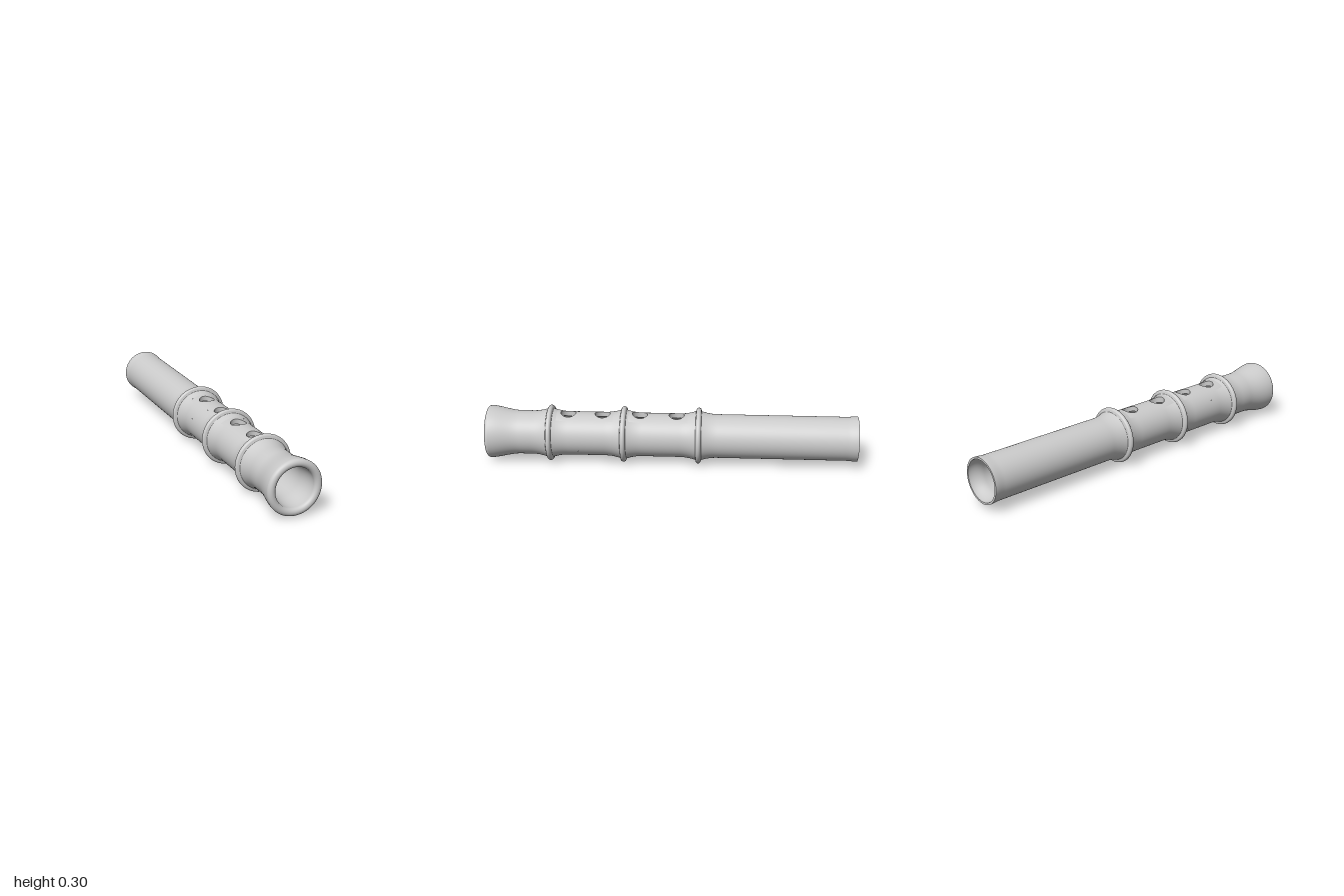
import * as THREE from 'three';

const AXIS_Y = 0.151;
const NODES = [-0.147, 0.257, 0.655];          // raised joints along the tube
const HOLES = [-0.028, 0.17, 0.372, 0.558];    // finger holes on the top
const HOLE_R = 0.041;
const WIN_Z = 0.06, WIN_A = 0.6;               // window cut around each hole
const BACK = -1, FRONT = 0.98;

const smooth = THREE.MathUtils.smoothstep;

// outer radius: tube, flared joints with a bead, bell at the front
function outerR(z) {
  let r = 0.118 + 0.025 * smooth(z, 0.82, 0.99) + 0.004 * smooth(-z, 0.94, 1);
  for (const n of NODES) {
    const d = Math.abs(z - n);
    if (d < 0.1) r += 0.02 * (1 - d / 0.1) ** 2;
    if (d < 0.014) r = Math.max(r, 0.137 + Math.sqrt(0.014 ** 2 - d * d));
  }
  return r;
}

// bore radius, widening at both ends
function innerR(z) {
  return 0.092 + 0.01 * smooth(z, 0.86, 0.98) + 0.019 * smooth(-z, 0.92, 1);
}

const material = new THREE.MeshStandardMaterial({ color: 0xcccccc, side: THREE.DoubleSide });

function add(parent, name, geometry) {
  const mesh = new THREE.Mesh(geometry, material);
  mesh.name = name;
  parent.add(mesh);
}

// lathe about the z axis; a gap half-angle leaves the top open
function turn(points, gap = 0) {
  return new THREE.LatheGeometry(points, 72, Math.PI + gap, 2 * Math.PI - 2 * gap).rotateX(Math.PI / 2);
}

// profile points, closer together around joints and ends
function profile(radius, z0, z1) {
  const pts = [];
  for (let z = z0; z < z1 - 0.001;) {
    pts.push(new THREE.Vector2(radius(z), z));
    const d = Math.min(...NODES.map((n) => Math.abs(z - n)));
    z += d < 0.025 ? 0.002 : d < 0.12 || Math.abs(z) > 0.8 ? 0.008 : 0.02;
  }
  pts.push(new THREE.Vector2(radius(z1), z1));
  return pts;
}

// sheet running around a hole; at(t, s) gives [position, normal]
function ringSheet(at, rows, flip) {
  const N = 48, pos = [], nor = [], idx = [];
  for (let j = 0; j <= rows; j++) {
    for (let i = 0; i <= N; i++) {
      const [p, n] = at((i / N) * Math.PI * 2, j / rows);
      pos.push(...p);
      nor.push(...n);
      if (i === N || j === rows) continue;
      const a = j * (N + 1) + i, b = a + 1, c = a + N + 1, d = c + 1;
      if (flip) idx.push(a, c, b, b, c, d);
      else idx.push(a, b, c, b, d, c);
    }
  }
  const g = new THREE.BufferGeometry();
  g.setAttribute('position', new THREE.Float32BufferAttribute(pos, 3));
  g.setAttribute('normal', new THREE.Float32BufferAttribute(nor, 3));
  g.setIndex(idx);
  return g;
}

// curved square patch with a round hole, lying on the given radius
function holePatch(radius, zc, sign) {
  return ringSheet((t, s) => {
    const c = Math.cos(t), k = Math.sin(t), m = Math.max(Math.abs(c), Math.abs(k));
    const zh = zc + HOLE_R * k;
    const a = THREE.MathUtils.lerp(Math.asin(HOLE_R * c / radius(zh)), WIN_A * c / m, s);
    const z = THREE.MathUtils.lerp(zh, zc + WIN_Z * k / m, s);
    const r = radius(z);
    return [[r * Math.sin(a), r * Math.cos(a), z], [sign * Math.sin(a), sign * Math.cos(a), 0]];
  }, 6, sign < 0);
}

// side of the drilled hole between outer wall and bore
function holeWall(zc) {
  return ringSheet((t, s) => {
    const x = HOLE_R * Math.cos(t), z = zc + HOLE_R * Math.sin(t);
    const r = s ? innerR(z) : outerR(z);
    return [[x, Math.sqrt(r * r - x * x), z], [-Math.cos(t), 0, -Math.sin(t)]];
  }, 1, true);
}

export function createModel() {
  const model = new THREE.Group();
  model.name = 'flute';
  const tube = new THREE.Group();
  tube.name = 'tube';
  tube.position.y = AXIS_Y;
  model.add(tube);

  // tube walls, alternating full sections and sections open at a finger hole
  const cuts = [BACK, ...HOLES.flatMap((h) => [h - WIN_Z, h + WIN_Z]), FRONT];
  for (let i = 0; i < cuts.length - 1; i++) {
    const gap = i % 2 ? WIN_A : 0;
    add(tube, 'outerWall', turn(profile(outerR, cuts[i], cuts[i + 1]), gap));
    add(tube, 'bore', turn(profile(innerR, cuts[i], cuts[i + 1]).reverse(), gap));
  }

  // finger holes
  for (const z of HOLES) {
    const hole = new THREE.Group();
    hole.name = 'fingerHole';
    add(hole, 'holeSurround', holePatch(outerR, z, 1));
    add(hole, 'holeBoreSurround', holePatch(innerR, z, -1));
    add(hole, 'holeWall', holeWall(z));
    tube.add(hole);
  }

  // rounded lip of the bell
  const ro = outerR(FRONT), ri = innerR(FRONT), lip = [];
  for (let i = 0; i <= 16; i++) {
    const a = (i / 16) * Math.PI;
    lip.push(new THREE.Vector2((ro + ri) / 2 + (ro - ri) / 2 * Math.cos(a), FRONT + 0.02 * Math.sin(a)));
  }
  add(tube, 'bellLip', turn(lip));

  // thin flat rim at the back end
  add(tube, 'backRim', turn([new THREE.Vector2(innerR(BACK), BACK), new THREE.Vector2(outerR(BACK), BACK)]));

  return model;
}
